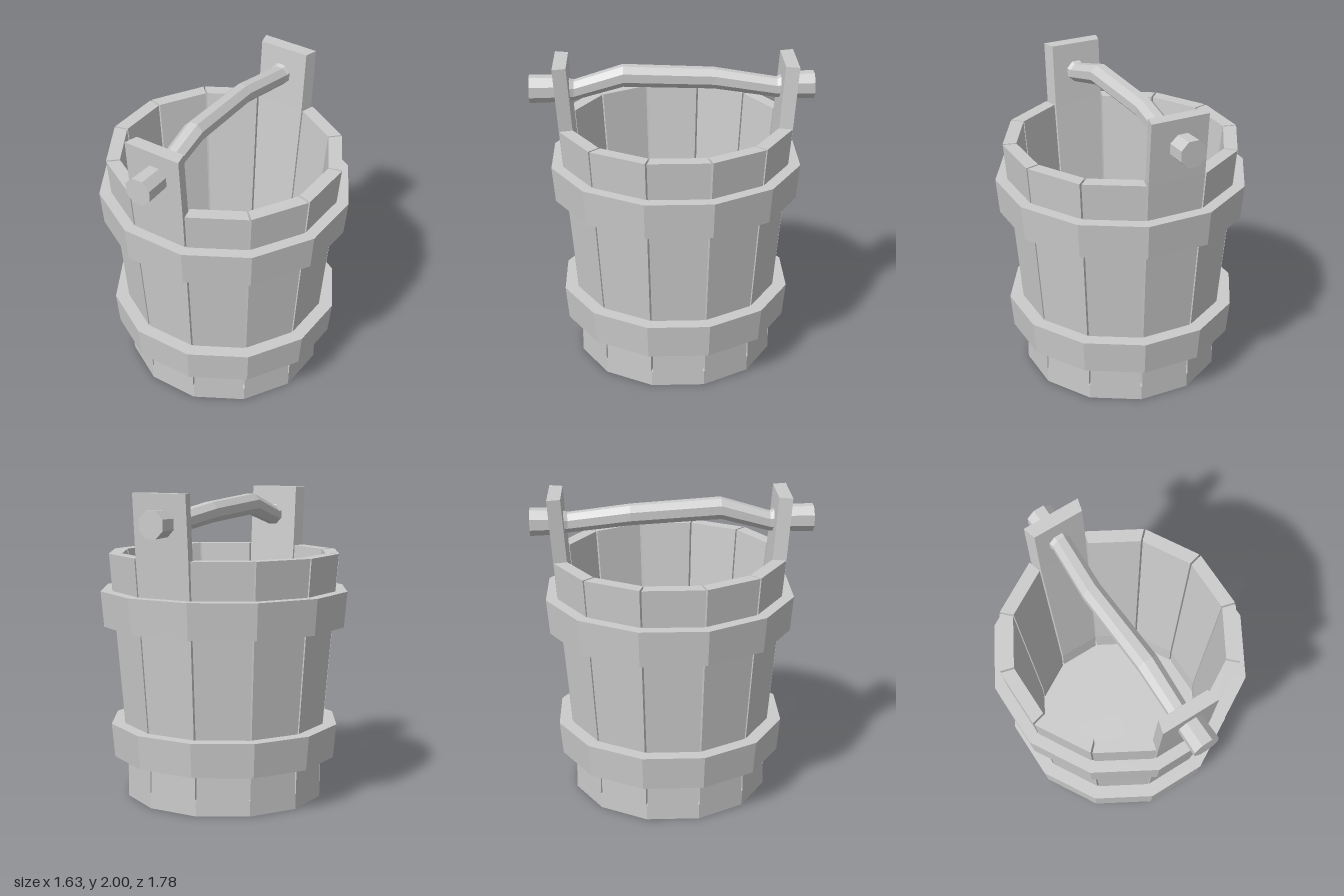
import * as THREE from 'three';

const material = new THREE.MeshStandardMaterial({ color: 0xcccccc, flatShading: true });
const SIDES = 12, HALF = Math.PI / SIDES;

function addMesh(parent, name, geometry) {
  const mesh = new THREE.Mesh(geometry, material);
  mesh.name = name;
  parent.add(mesh);
  return mesh;
}

// Skin a row of equal-sized rings (counter-clockwise seen from the last ring) and cap both ends
function loft(rings) {
  const pos = [], n = rings[0].length;
  const tri = (...pts) => pts.forEach(p => pos.push(p.x, p.y, p.z));
  for (let k = 0; k < rings.length - 1; k++) {
    const a = rings[k], b = rings[k + 1];
    for (let i = 0; i < n; i++) {
      const j = (i + 1) % n;
      tri(a[i], a[j], b[j]);
      tri(a[i], b[j], b[i]);
    }
  }
  const first = rings[0], last = rings[rings.length - 1];
  for (let i = 1; i < n - 1; i++) {
    tri(first[0], first[i + 1], first[i]);
    tri(last[0], last[i], last[i + 1]);
  }
  const g = new THREE.BufferGeometry();
  g.setAttribute('position', new THREE.Float32BufferAttribute(pos, 3));
  g.computeVertexNormals();
  return g;
}

// One plank of the wall; levels are [y, outer corner radius, radius that sets the width]
function staveGeometry(angle, levels) {
  const s = Math.sin(angle), c = Math.cos(angle), gap = 0.006, thick = 0.088;
  return loft(levels.map(([y, R, W]) => {
    const corner = (radius, widthRadius, side) => {
      const r = radius * Math.cos(HALF);
      const t = side * (widthRadius * Math.sin(HALF) - gap);
      return new THREE.Vector3(s * r + c * t, y, c * r - s * t);
    };
    return [corner(R, W, -1), corner(R, W, 1), corner(R - thick, W - thick, 1), corner(R - thick, W - thick, -1)];
  }));
}

// Flaring band around the wall
function hoopGeometry(y0, y1, outer0, outer1, inner0, inner1) {
  const profile = [[outer0, y0], [outer1, y1], [inner1, y1], [inner0, y0], [outer0, y0]];
  return new THREE.LatheGeometry(profile.map(p => new THREE.Vector2(...p)), SIDES);
}

// Octagonal bar; stations are [x, y, z, radius]
function barGeometry(stations, yaw) {
  return loft(stations.map(([x, y, z, r]) => Array.from({ length: 8 }, (_, i) => {
    const a = (i + 0.5) * Math.PI / 4, u = r * Math.cos(a);
    return new THREE.Vector3(x + u * Math.cos(yaw), y + r * Math.sin(a), z - u * Math.sin(yaw));
  })));
}

export function createModel() {
  const model = new THREE.Group();
  model.name = 'bucket';

  const tub = new THREE.Group();
  tub.name = 'tub';
  tub.position.z = -0.02;
  model.add(tub);

  // Solid floor
  addMesh(tub, 'floor', new THREE.CylinderGeometry(0.65, 0.65, 0.1, SIDES)).position.y = 0.05;

  // Wall of staves, two opposite ones rising to carry the handle
  const wall = [[0.1, 0.65, 0.65], [0.27, 0.65, 0.65], [1.6, 0.76, 0.76]];
  for (let i = 0; i < SIDES; i++) {
    const tall = i % 6 === 0;
    const levels = tall ? [...wall, [2, 0.79, 0.76]] : wall;
    addMesh(tub, tall ? 'handleStave' : 'stave', staveGeometry((2 * i + 1) * HALF, levels));
  }

  // Hoops
  addMesh(tub, 'lowerHoop', hoopGeometry(0.27, 0.49, 0.737, 0.757, 0.645, 0.663));
  addMesh(tub, 'upperHoop', hoopGeometry(1.13, 1.36, 0.796, 0.816, 0.715, 0.733));

  // Bent handle with thick ends through the tall staves
  addMesh(model, 'handle', barGeometry([
    [-0.25, 1.82, -0.865, 0.09],
    [-0.2, 1.82, -0.7, 0.085],
    [-0.175, 1.81, -0.64, 0.066],
    [-0.1, 1.865, -0.25, 0.069],
    [0.075, 1.895, 0.3, 0.072],
    [0.165, 1.805, 0.6, 0.066],
    [0.2, 1.82, 0.68, 0.085],
    [0.25, 1.82, 0.865, 0.09],
  ], 0.28));

  return model;
}
